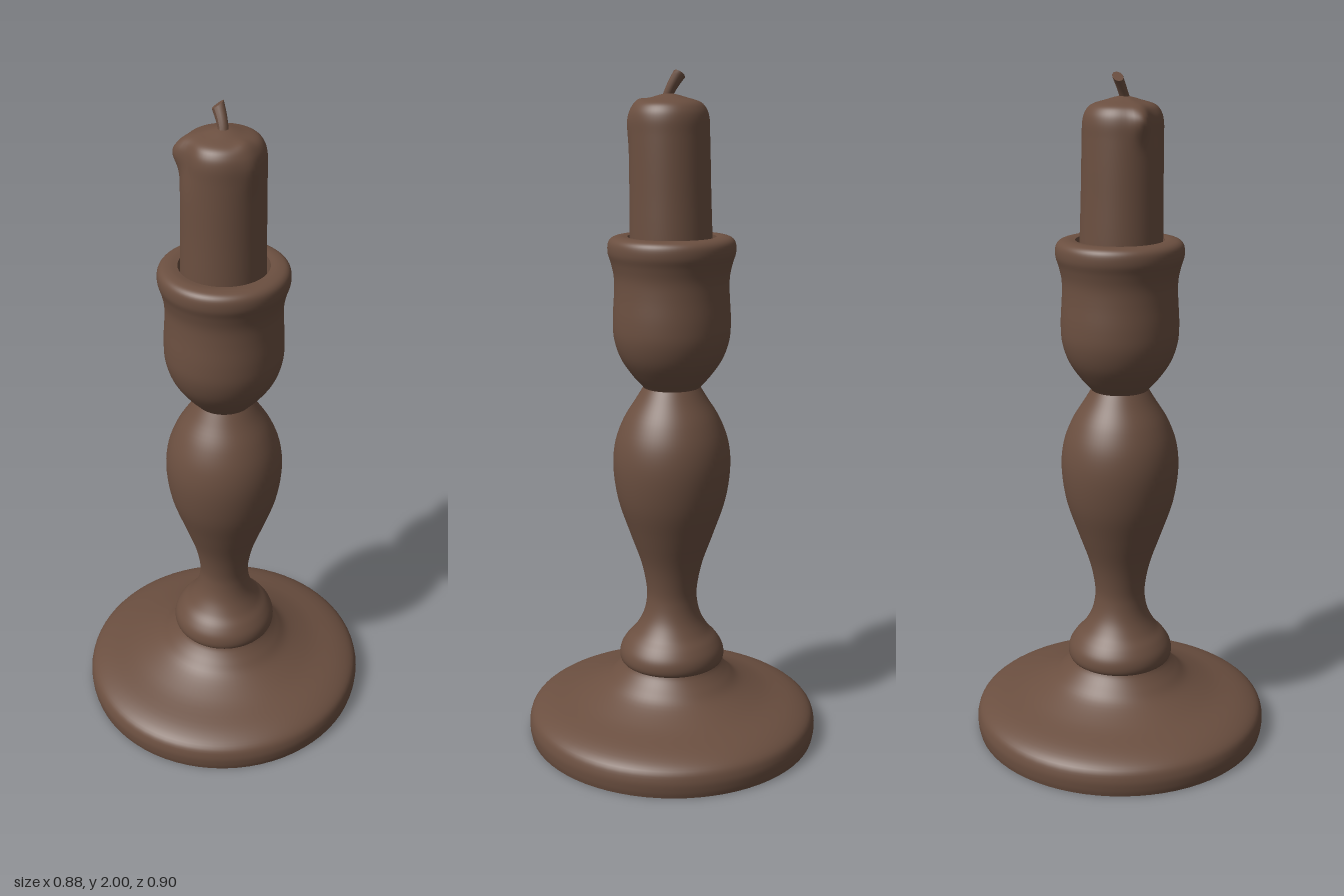
import * as THREE from 'three';
import { mergeVertices } from 'three/addons/utils/BufferGeometryUtils.js';

const brown = new THREE.MeshStandardMaterial({ color: 0x6b4f40 });
brown.name = 'brown';

const v2 = (p) => new THREE.Vector2(p[0], p[1]);

// Smooth turned part: a spline through [radius, height] points, spun round y
function turned(name, points, steps = 40) {
  const profile = new THREE.SplineCurve(points.map(v2)).getPoints(steps);
  profile.forEach((p) => { p.x = Math.max(p.x, 0); });
  const mesh = new THREE.Mesh(new THREE.LatheGeometry(profile, 72), brown);
  mesh.name = name;
  return mesh;
}

// Weld a reshaped geometry and give it smooth normals
function weld(geometry) {
  geometry.deleteAttribute('uv');
  geometry.deleteAttribute('normal');
  const welded = mergeVertices(geometry, 1e-5);
  welded.computeVertexNormals();
  return welded;
}

// Candle: a slightly leaning, tapered body with melted drips near the top
function makeCandle() {
  const profile = new THREE.SplineCurve([
    [0.12, 1.46], [0.119, 1.55], [0.117, 1.65], [0.116, 1.75], [0.115, 1.82],
    [0.114, 1.865], [0.106, 1.893], [0.088, 1.912], [0.05, 1.924], [0.022, 1.932], [0, 1.936],
  ].map(v2)).getPoints(60);
  profile[profile.length - 1].x = 0;
  const geometry = new THREE.LatheGeometry(profile, 64);
  const bump = (d, w) => Math.exp(-((d / w) ** 2));
  const pos = geometry.attributes.position;
  for (let i = 0; i < pos.count; i++) {
    const x = pos.getX(i), y = pos.getY(i), z = pos.getZ(i);
    const r = Math.hypot(x, z), a = Math.atan2(z, x);
    const t = (y - 1.46) / 0.47;
    const swell = 0.021 * bump(a - 2.55, 0.22) * bump(y - 1.875, 0.045)
      - 0.009 * bump(a - 2.05, 0.3) * bump(y - 1.87, 0.07)
      + 0.005 * bump(a - 0.3, 0.25) * bump(y - 1.85, 0.05);
    const s = 1 + swell / 0.115;
    const dip = 0.006 * bump(a - 0.3, 0.3) * bump(r - 0.085, 0.02);
    pos.setXYZ(i, x * s + 0.005 * t, y + dip, z * s + 0.003 + 0.006 * t);
  }
  const mesh = new THREE.Mesh(weld(geometry), brown);
  mesh.name = 'candle';
  return mesh;
}

// Wick: a thin cylinder bent to one side, its tip cut at a slant
function makeWick() {
  const geometry = new THREE.CylinderGeometry(0.016, 0.014, 1, 10, 8);
  const pos = geometry.attributes.position;
  for (let i = 0; i < pos.count; i++) {
    const t = pos.getY(i) + 0.5;
    const x = pos.getX(i), z = pos.getZ(i);
    pos.setXYZ(i,
      x + 0.009 - 0.031 * t ** 1.5,
      1.915 + 0.072 * t + t * (0.7 * x - 0.3 * z),
      z + 0.017 - 0.02 * t);
  }
  geometry.computeVertexNormals();
  const mesh = new THREE.Mesh(geometry, brown);
  mesh.name = 'wick';
  return mesh;
}

export function createModel() {
  const model = new THREE.Group();
  model.name = 'candlestick';

  // Foot, a touch deeper than wide
  const foot = new THREE.Group();
  foot.name = 'foot';
  foot.add(
    turned('footUnderside', [[0, 0], [0.437, 0]], 1),
    turned('footDish', [
      [0.437, 0], [0.441, 0.02], [0.441, 0.05], [0.427, 0.08], [0.38, 0.105],
      [0.29, 0.131], [0.215, 0.164], [0.178, 0.195], [0.155, 0.22], [0.146, 0.235],
    ]),
  );
  foot.scale.z = 1.015;

  model.add(
    foot,
    // Stem: flared collar, narrow waist and pear-shaped swelling
    turned('stem', [
      [0.14, 0.228], [0.155, 0.236], [0.16, 0.255], [0.155, 0.28], [0.138, 0.307],
      [0.113, 0.335], [0.09, 0.375], [0.078, 0.42], [0.077, 0.47], [0.093, 0.55],
      [0.128, 0.65], [0.161, 0.75], [0.175, 0.85], [0.168, 0.93], [0.142, 1.0],
      [0.105, 1.06], [0.084, 1.095],
    ], 70),
    // Cup with a rolled lip
    turned('cup', [
      [0.08, 1.088], [0.088, 1.1], [0.115, 1.13], [0.15, 1.182], [0.169, 1.24],
      [0.172, 1.3], [0.168, 1.37], [0.168, 1.42], [0.176, 1.46], [0.185, 1.49],
      [0.184, 1.518], [0.172, 1.533], [0.15, 1.538], [0.128, 1.536],
    ], 60),
    // Socket the candle stands in
    turned('socketWall', [[0.128, 1.536], [0.125, 1.48]], 1),
    turned('socketFloor', [[0.125, 1.48], [0, 1.48]], 1),
    makeCandle(),
    makeWick(),
  );
  return model;
}
